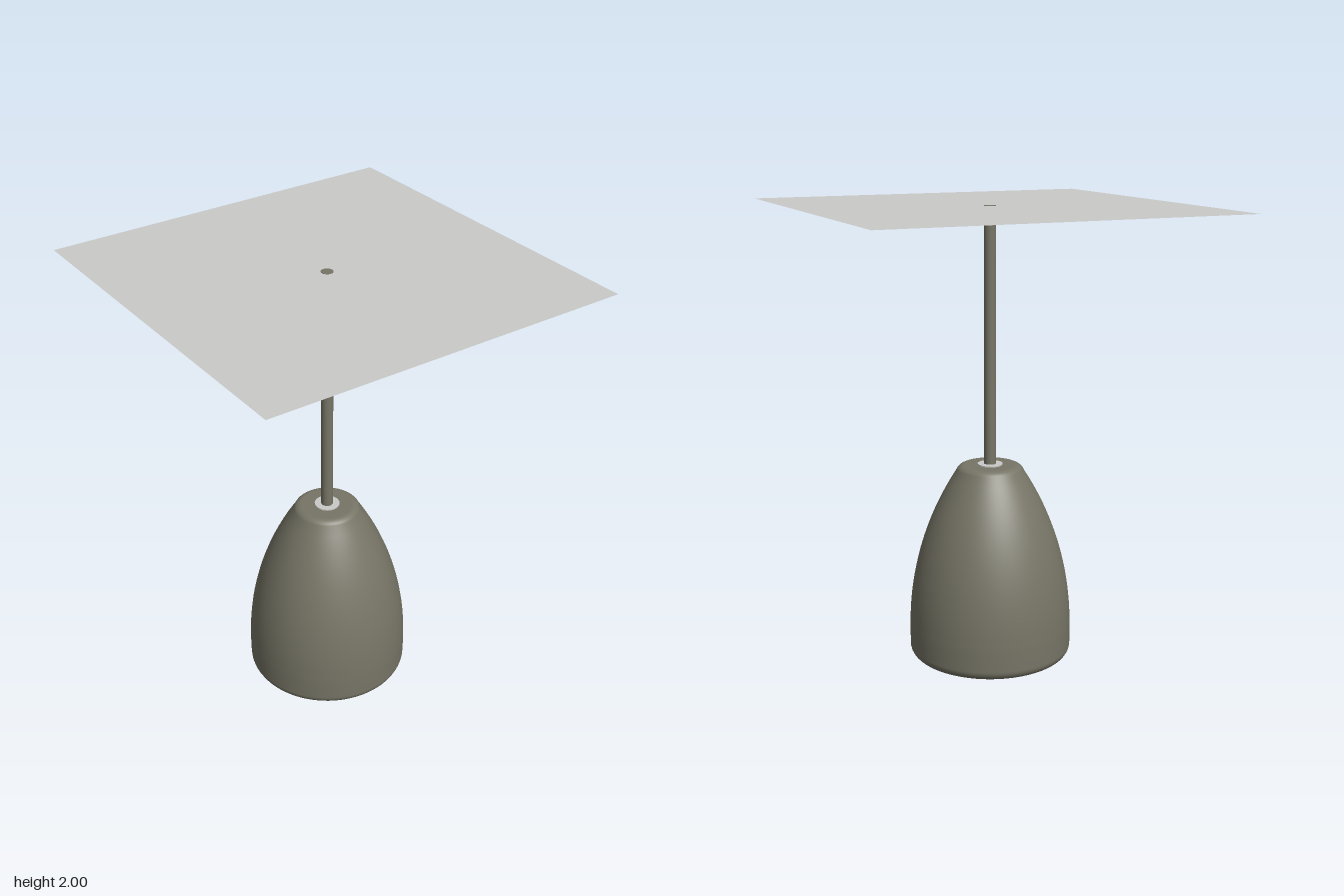
import * as THREE from 'three';

export function createModel() {
  const model = new THREE.Group();
  model.name = 'pendantLamp';

  const bronze = new THREE.MeshStandardMaterial({ color: 0x777566 });
  bronze.name = 'bronze';
  const paleGrey = new THREE.MeshStandardMaterial({ color: 0xcacac8, side: THREE.DoubleSide });
  paleGrey.name = 'paleGrey';

  const add = (name, geometry, material, y = 0) => {
    const mesh = new THREE.Mesh(geometry, material);
    mesh.name = name;
    mesh.position.y = y;
    model.add(mesh);
  };
  // Points on a circular arc, as lathe profile points
  const arc = (cx, cy, r, from, to, n) =>
    Array.from({ length: n + 1 }, (_, i) => {
      const a = from + ((to - from) * i) / n;
      return new THREE.Vector2(cx + r * Math.cos(a), cy + r * Math.sin(a));
    });
  const v = (x, y) => new THREE.Vector2(x, y);

  // Outer shell: rounded bottom lip, curved side, rounded shoulder, flat top
  const R = 1.329;
  add('shade', new THREE.LatheGeometry([
    v(0.30, 0.002),
    ...arc(0.315, 0.045, 0.045, -Math.PI / 2, 0, 8),
    v(0.361, 0.13),
    ...arc(0.36 - R, 0.13, R, 0.02, 0.565, 24),
    ...arc(0.112, 0.835, 0.04, 0.6, Math.PI / 2, 8),
    v(0.108, 0.875),
    v(0.026, 0.875),
  ], 64), bronze);

  // Flared recess inside the lip
  add('innerLip', new THREE.LatheGeometry([
    v(0.213, 0.09), v(0.235, 0.06), v(0.262, 0.03), v(0.285, 0.01), v(0.30, 0.002),
  ], 64), bronze);

  // Hollow bore, closed at its top
  add('bore', new THREE.LatheGeometry([v(0, 0.55), v(0.212, 0.55)], 64), bronze);
  add('boreWall', new THREE.LatheGeometry([v(0.213, 0.55), v(0.213, 0.09)], 64), bronze);

  // Washer, stem and ceiling panel
  add('washer', new THREE.CylinderGeometry(0.055, 0.055, 0.006, 32), paleGrey, 0.877);
  add('stem', new THREE.CylinderGeometry(0.026, 0.026, 1.14, 32), bronze, 1.43);
  add('ceilingPanel', new THREE.PlaneGeometry(1.6, 1.6).rotateX(-Math.PI / 2), paleGrey, 1.999);

  return model;
}
